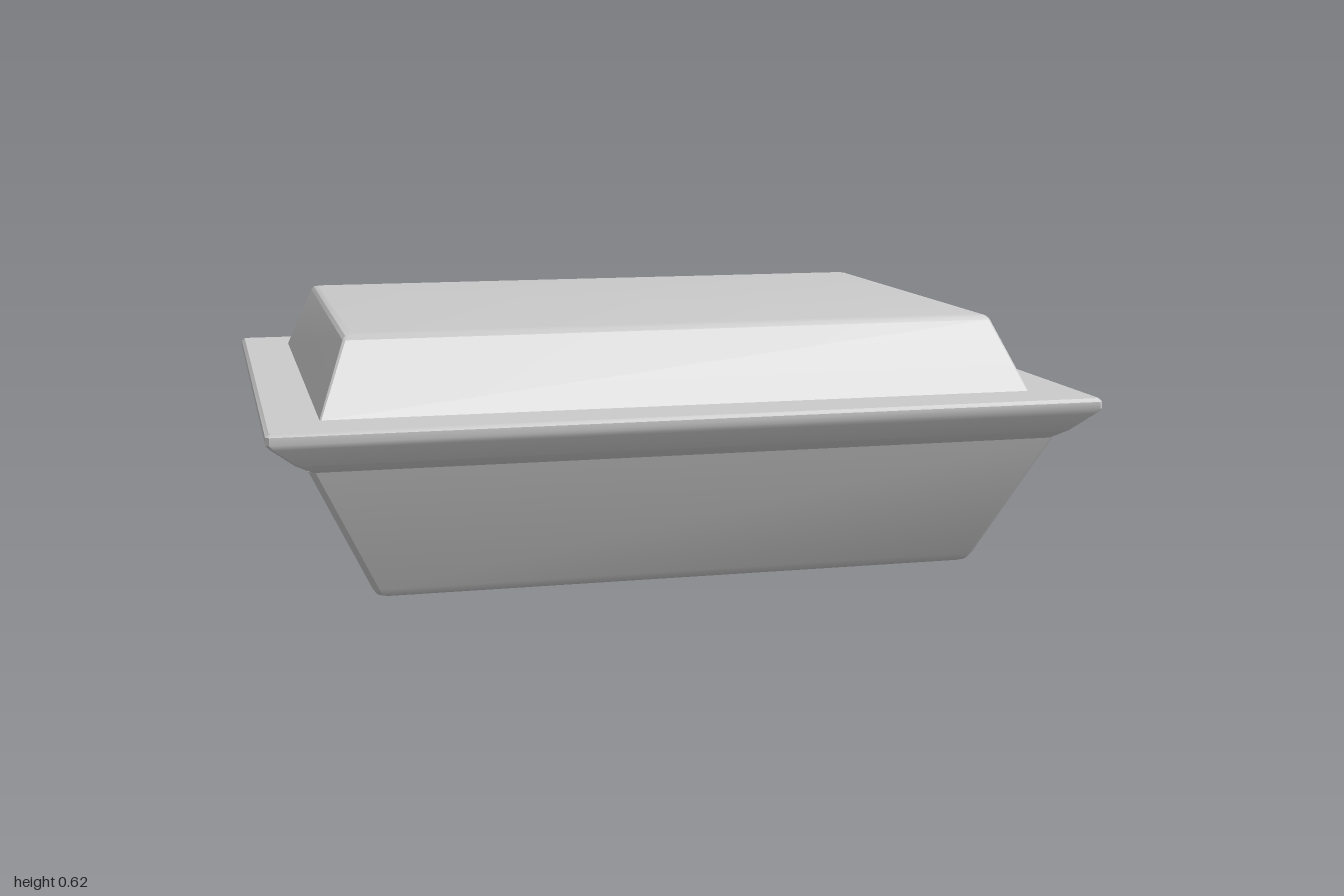
import * as THREE from 'three';
import { toCreasedNormals } from 'three/addons/utils/BufferGeometryUtils.js';

// Rectangle with slightly clipped corners, counter-clockwise seen from above
function section([hx, hz, y, c]) {
  return [
    [hx, hz - c], [hx, -hz + c], [hx - c, -hz], [-hx + c, -hz],
    [-hx, -hz + c], [-hx, hz - c], [-hx + c, hz], [hx - c, hz],
  ].map(([x, z]) => [x, y, z]);
}

// Skin a stack of rectangles [halfX, halfZ, y, cornerClip], from bottom to top
function loft(rows, { capBottom = false, capTop = false }) {
  const n = 8, last = (rows.length - 1) * n, index = [];
  const points = rows.flatMap(section).flat();
  for (let r = 0; r < rows.length - 1; r++) {
    for (let j = 0; j < n; j++) {
      const a = r * n + j, b = r * n + (j + 1) % n;
      index.push(a, b, b + n, a, b + n, a + n);
    }
  }
  for (let j = 1; j < n - 1; j++) {
    if (capBottom) index.push(0, j + 1, j);
    if (capTop) index.push(last, last + j, last + j + 1);
  }
  const geometry = new THREE.BufferGeometry();
  geometry.setAttribute('position', new THREE.Float32BufferAttribute(points, 3));
  geometry.setIndex(index);
  return toCreasedNormals(geometry, 0.6);
}

export function createModel() {
  const group = new THREE.Group();
  group.name = 'liddedBox';
  const material = new THREE.MeshStandardMaterial({ color: 0xcccccc, side: THREE.DoubleSide });
  const add = (name, geometry) => {
    const mesh = new THREE.Mesh(geometry, material);
    mesh.name = name;
    group.add(mesh);
  };

  // Tapered tray with a rounded bottom edge
  add('tray', loft([
    [0.73, 0.572, 0, 0.01],
    [0.745, 0.587, 0.006, 0.012],
    [0.757, 0.6, 0.024, 0.015],
    [0.905, 0.725, 0.338, 0.015],
  ], { capBottom: true }));

  // Flared rim and the flat ledge around the lid
  add('rim', loft([
    [0.895, 0.718, 0.335, 0.008],
    [0.935, 0.745, 0.358, 0.008],
    [0.99, 0.773, 0.402, 0.008],
    [1.0, 0.78, 0.414, 0.008],
    [1.0, 0.78, 0.432, 0.008],
    [0.992, 0.772, 0.44, 0.006],
    [0.872, 0.635, 0.44, 0.003],
  ], {}));

  // Raised lid with sloping sides and a softened top edge
  add('lid', loft([
    [0.872, 0.635, 0.44, 0.004],
    [0.807, 0.538, 0.608, 0.006],
    [0.8, 0.529, 0.617, 0.006],
    [0.785, 0.515, 0.62, 0.006],
  ], { capTop: true }));

  return group;
}
